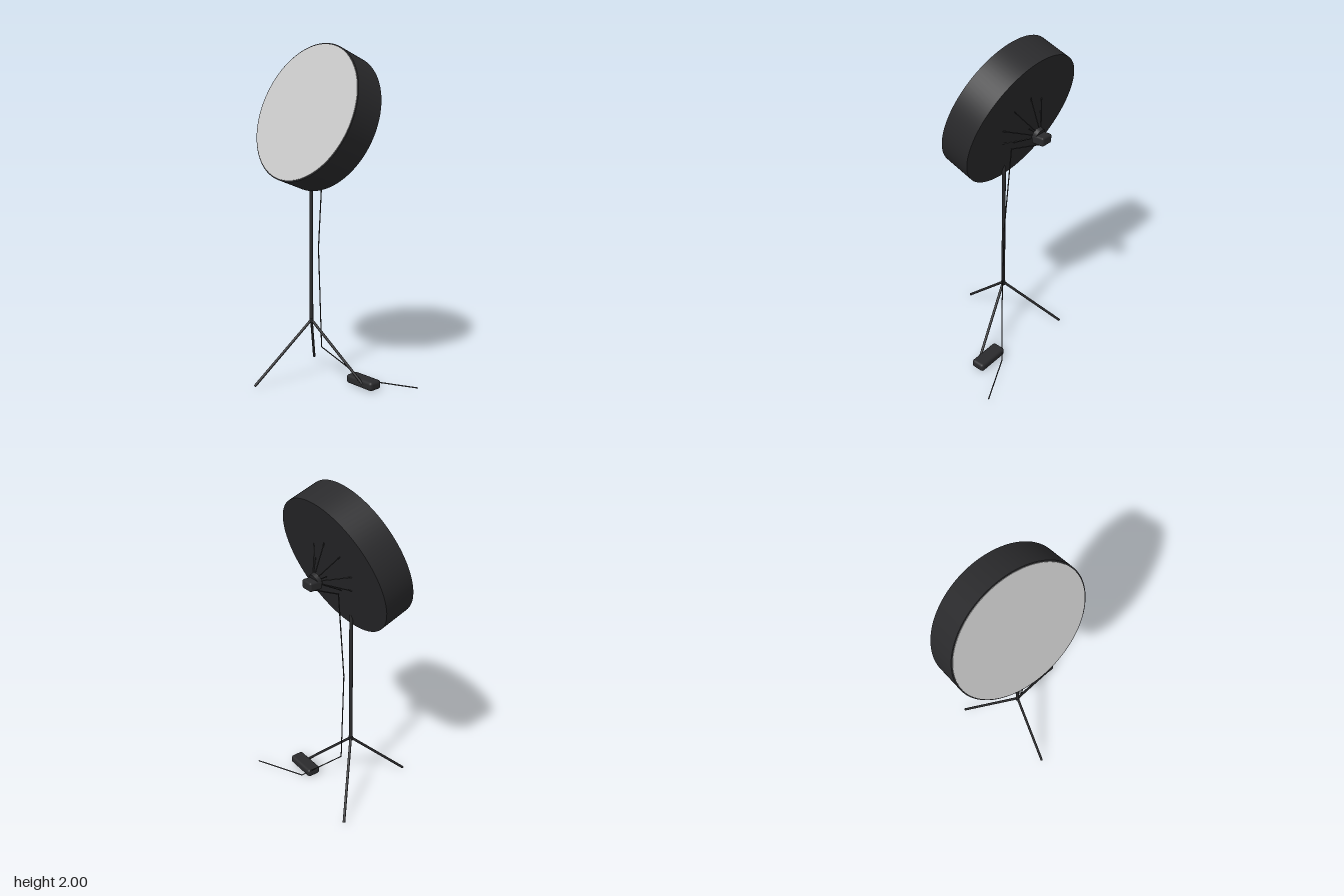
import * as THREE from 'three';
import { RoundedBoxGeometry } from 'three/addons/geometries/RoundedBoxGeometry.js';

const black = new THREE.MeshStandardMaterial({ color: 0x2a2a2c });
const white = new THREE.MeshStandardMaterial({ color: 0xcccccc });
const V = (x, y, z) => new THREE.Vector3(x, y, z);

function add(parent, name, geometry, material = black) {
  const mesh = new THREE.Mesh(geometry, material);
  mesh.name = name;
  parent.add(mesh);
  return mesh;
}

// Round bar between two points
function bar(parent, name, a, b, radius, sides = 16) {
  const dir = b.clone().sub(a);
  const mesh = add(parent, name, new THREE.CylinderGeometry(radius, radius, dir.length(), sides));
  mesh.position.copy(a).add(b).multiplyScalar(0.5);
  mesh.quaternion.setFromUnitVectors(V(0, 1, 0), dir.normalize());
  return mesh;
}

export function createModel() {
  const model = new THREE.Group();
  model.name = 'studioSoftbox';
  const cx = -0.063, cz = -0.008;

  // Softbox head, local +z is the lit side, origin at the middle of the back
  const head = new THREE.Group();
  head.name = 'softboxHead';
  head.position.set(cx, 1.548, -0.133);
  head.rotation.x = -THREE.MathUtils.degToRad(20);
  model.add(head);
  const R = 0.421, D = 0.188;
  add(head, 'drum', new THREE.CylinderGeometry(R, R, D, 96).rotateX(Math.PI / 2)).position.z = D / 2;
  add(head, 'diffuser', new THREE.CylinderGeometry(0.413, 0.413, 0.006, 96).rotateX(Math.PI / 2), white)
    .position.z = D;

  // Spreader rods from the hub to the back of the drum
  for (let i = 0; i < 8; i++) {
    const a = (i / 8) * Math.PI * 2, c = Math.cos(a), s = Math.sin(a);
    bar(head, 'spreaderRod', V(c * 0.03, s * 0.03, -0.115), V(c * 0.165, s * 0.165, 0.003), 0.003, 8);
  }
  add(head, 'hub', new THREE.CylinderGeometry(0.039, 0.039, 0.026, 32).rotateX(Math.PI / 2))
    .position.z = -0.12;

  // Lamp housing behind the hub
  add(model, 'lampHousing', new RoundedBoxGeometry(0.08, 0.053, 0.08, 4, 0.012))
    .position.set(cx, 1.488, -0.269);

  // Stand: pole, collar and three legs
  const joint = V(cx, 0.37, cz);
  bar(model, 'pole', V(cx, 0.35, cz), V(cx, 1.3, cz), 0.011, 24);
  bar(model, 'legCollar', V(cx, 0.352, cz), V(cx, 0.378, cz), 0.013, 24);
  for (let i = 0; i < 3; i++) {
    const a = THREE.MathUtils.degToRad(103.5 + i * 120);
    bar(model, 'leg', joint, V(cx + 0.375 * Math.cos(a), 0.015, cz + 0.375 * Math.sin(a)), 0.008);
  }

  // Power cable with sharp bends
  const path = [
    V(cx, 1.468, -0.3), V(-0.04, 1.365, -0.08), V(-0.033, 0.81, -0.038),
    V(-0.01, 0.205, -0.043), V(0.19, 0.008, -0.213), V(0.485, 0.008, -0.358),
  ];
  const cable = new THREE.Group();
  cable.name = 'powerCable';
  model.add(cable);
  path.slice(1).forEach((p, i) => {
    bar(cable, 'cableRun', path[i], p, 0.0035, 8);
    add(cable, 'cableBend', new THREE.SphereGeometry(0.0035, 8, 6)).position.copy(p);
  });

  // Power pack on the floor
  add(model, 'powerPack', new RoundedBoxGeometry(0.212, 0.054, 0.088, 4, 0.018))
    .position.set(0.245, 0.033, -0.148);

  return model;
}
